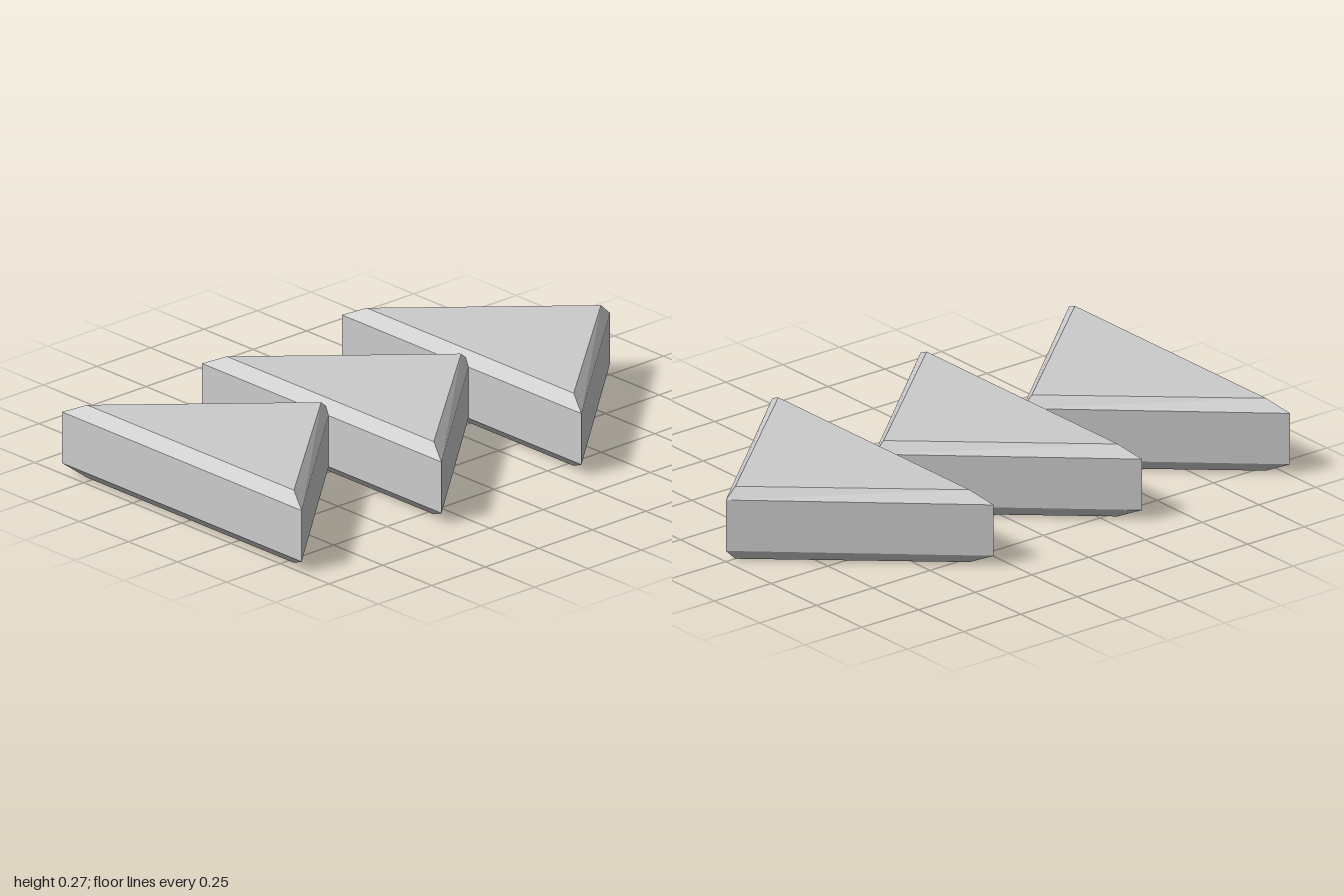
import * as THREE from 'three';

// Horizontal triangle pointing to +x: back-left, tip, back-right corners
const ring = (y, back, tip, halfWidth) => [
  [back, y, halfWidth], [tip, y, 0], [back, y, -halfWidth],
];

// Triangular slab with chamfered top and bottom, built from stacked rings
function arrowGeometry() {
  const rings = [
    ring(0, 0.04, 0.651, 0.527),
    ring(0.04, 0, 0.693, 0.61),
    ring(0.23, 0, 0.693, 0.61),
    ring(0.27, 0.04, 0.651, 0.527),
  ];
  const index = [2, 1, 0]; // bottom cap
  for (let r = 0; r < rings.length - 1; r++) {
    for (let i = 0; i < 3; i++) {
      const a = r * 3 + i, b = r * 3 + (i + 1) % 3;
      index.push(a, b, b + 3, a, b + 3, a + 3);
    }
  }
  index.push(9, 10, 11); // top cap
  const indexed = new THREE.BufferGeometry();
  indexed.setAttribute('position', new THREE.Float32BufferAttribute(rings.flat(2), 3));
  indexed.setIndex(index);
  const geometry = indexed.toNonIndexed();
  geometry.computeVertexNormals();
  return geometry;
}

export function createModel() {
  const group = new THREE.Group();
  group.name = 'arrowRow';
  const material = new THREE.MeshStandardMaterial({ color: 0xcccccc, flatShading: true });
  const geometry = arrowGeometry();

  // Three arrows in a row, each tip sunk slightly into the next one's back
  for (let i = 0; i < 3; i++) {
    const arrow = new THREE.Mesh(geometry, material);
    arrow.name = `arrow${i + 1}`;
    arrow.position.x = -1 + i * 0.6535;
    group.add(arrow);
  }
  return group;
}
